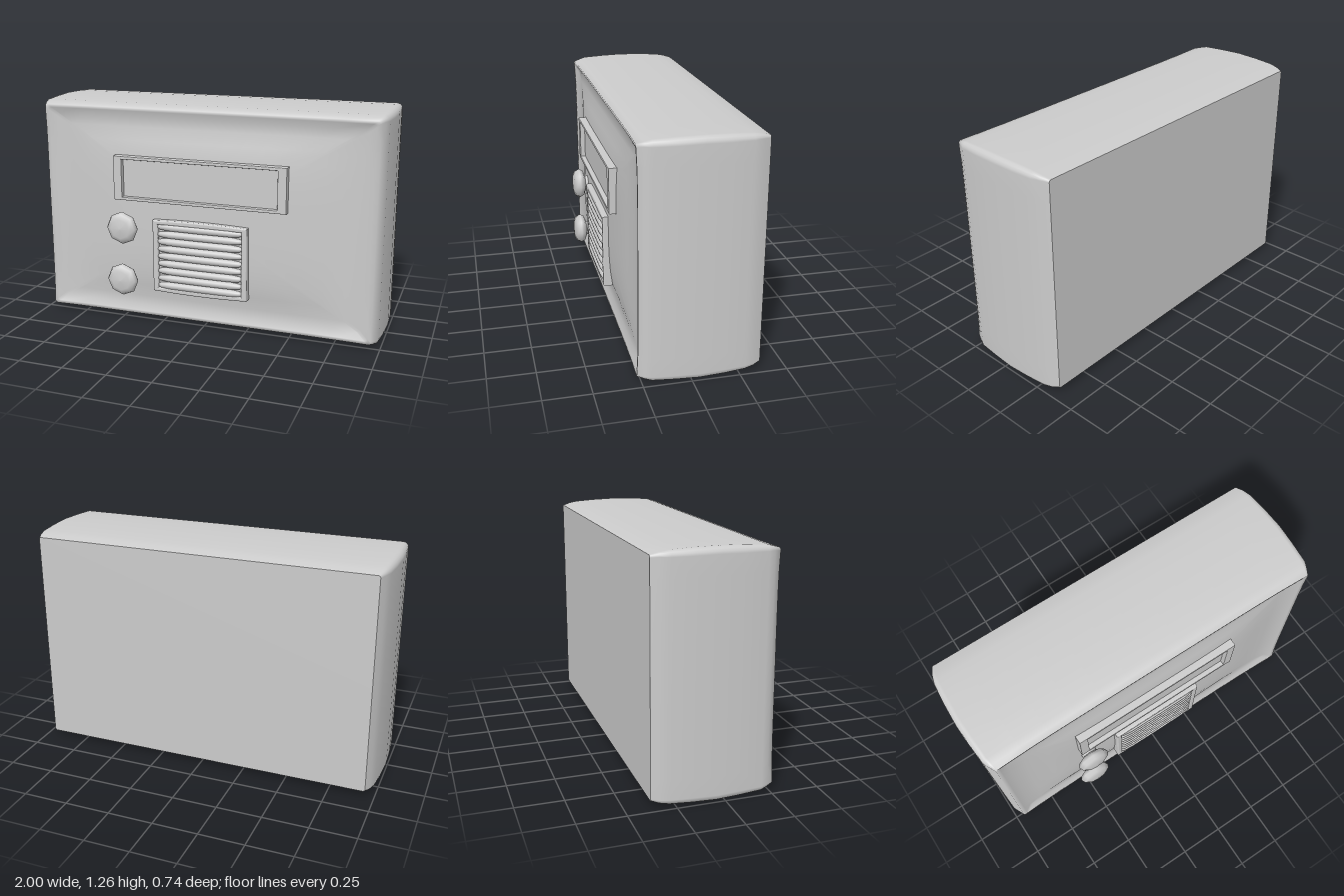
import * as THREE from 'three';

const material = new THREE.MeshStandardMaterial({ color: 0xcccccc });

function add(group, name, geometry, x = 0, y = 0, z = 0) {
  const mesh = new THREE.Mesh(geometry, material);
  mesh.name = name;
  mesh.position.set(x, y, z);
  group.add(mesh);
  return mesh;
}

// Rounded rectangle outline, counter-clockwise seen from +z
const SIDE = 12, ARC = 4;
function outline(hw, hh, r) {
  const pts = [];
  const corners = [[1, -1], [1, 1], [-1, 1], [-1, -1]];
  corners.forEach(([sx, sy], c) => {
    const cx = sx * (hw - r), cy = sy * (hh - r);
    for (let i = 0; i <= ARC; i++) {
      const a = (c - 1 + i / ARC) * Math.PI / 2;
      pts.push([cx + r * Math.cos(a), cy + r * Math.sin(a)]);
    }
    // Straight run to the start of the next corner
    const [nx, ny] = corners[(c + 1) % 4];
    const a = c * Math.PI / 2;
    const start = pts[pts.length - 1];
    const end = [nx * (hw - r) + r * Math.cos(a), ny * (hh - r) + r * Math.sin(a)];
    for (let i = 1; i < SIDE; i++) {
      const t = i / SIDE;
      pts.push([start[0] + (end[0] - start[0]) * t, start[1] + (end[1] - start[1]) * t]);
    }
  });
  return pts;
}

// Skin a list of loops (back to front), closing the last one to a point
function skin(loops, tip) {
  const n = loops[0].length, index = [];
  const position = loops.flat(2);
  for (let l = 0; l < loops.length - 1; l++) {
    for (let i = 0; i < n; i++) {
      const a = l * n + i, b = l * n + (i + 1) % n;
      index.push(a, b, b + n, a, b + n, a + n);
    }
  }
  if (tip) {
    const last = (loops.length - 1) * n;
    position.push(...tip);
    for (let i = 0; i < n; i++) index.push(last + i, last + (i + 1) % n, loops.length * n);
  }
  const g = new THREE.BufferGeometry();
  g.setAttribute('position', new THREE.Float32BufferAttribute(position, 3));
  g.setIndex(index);
  g.computeVertexNormals();
  return g;
}

// Rectangular frame with a rectangular opening
function frame(w, h, holeW, holeH, depth, bevel) {
  const shape = new THREE.Shape();
  const rect = (p, a, b) => p.moveTo(-a, -b).lineTo(a, -b).lineTo(a, b).lineTo(-a, b).closePath();
  rect(shape, w / 2 - bevel, h / 2 - bevel);
  shape.holes.push(rect(new THREE.Path(), holeW / 2 + bevel, holeH / 2 + bevel));
  return new THREE.ExtrudeGeometry(shape, {
    depth: depth - bevel, bevelEnabled: true, bevelThickness: bevel, bevelSize: bevel, bevelSegments: 2,
  });
}

export function createModel() {
  const model = new THREE.Group();
  model.name = 'wallSpeaker';
  const midY = 0.632;

  // Casing: bulged sides, raised rim and a softly domed front panel
  // Each row: half width, half height, corner radius, z
  const rows = [
    [0.95, 0.602, 0.012, -0.37], [0.97, 0.614, 0.02, -0.33], [0.985, 0.623, 0.03, -0.28],
    [0.995, 0.629, 0.035, -0.17], [1, 0.632, 0.035, -0.04], [0.995, 0.629, 0.035, 0.08],
    [0.985, 0.623, 0.03, 0.2], [0.97, 0.613, 0.02, 0.235], [0.952, 0.602, 0.015, 0.265],
    [0.93, 0.585, 0.015, 0.262], [0.89, 0.55, 0.015, 0.248], [0.8, 0.495, 0.015, 0.246],
  ];
  const loops = rows.map(([w, h, r, z]) => outline(w, h, r).map(([x, y]) => {
    // The rim flares forward a little at its corners
    const flare = z > 0.26 ? 0.008 * Math.pow(Math.abs(x / w * y / h), 6) : 0;
    return [x, y, z + flare];
  }));
  for (const s of [0.85, 0.7, 0.55, 0.4, 0.25, 0.1]) {
    loops.push(outline(0.8 * s, 0.495 * s, 0.012 * s).map(([x, y]) => {
      const u = x / 0.8, v = y / 0.495;
      return [x, y, 0.246 + 0.036 * (1 - u ** 4) * (1 - v ** 4)];
    }));
  }
  add(model, 'casing', skin(loops, [0, 0, 0.282]), 0, midY);

  // Flat back panel
  const backShape = new THREE.Shape(outline(0.95, 0.602, 0.012).map(([x, y]) => new THREE.Vector2(x, y)));
  add(model, 'backPanel', new THREE.ShapeGeometry(backShape), 0, midY, -0.37).rotation.y = Math.PI;

  // Display window with its raised frame
  const display = new THREE.Group();
  display.name = 'display';
  display.position.set(-0.015, 0.845, 0);
  add(display, 'displayFrame', frame(1, 0.25, 0.9, 0.215, 0.075, 0.004), 0, 0, 0.24);
  add(display, 'displayScreen', new THREE.BoxGeometry(0.92, 0.23, 0.05), 0, 0, 0.262);
  model.add(display);

  // Octagonal knobs, smooth shaded
  const knobProfile = [
    [0, -0.04], [0.05, -0.035], [0.082, -0.022], [0.094, 0.0], [0.082, 0.022], [0.055, 0.035], [0, 0.04],
  ].map(([r, y]) => new THREE.Vector2(r, y));
  const knobGeometry = new THREE.LatheGeometry(knobProfile, 8).rotateX(Math.PI / 2);
  [['upperKnob', -0.46, 0.563], ['lowerKnob', -0.465, 0.256]].forEach(([name, x, y]) => {
    add(model, name, knobGeometry, x, y, 0.332);
    const stem = add(model, name + 'Stem', new THREE.CylinderGeometry(0.045, 0.045, 0.06, 8), x, y, 0.285);
    stem.rotation.x = Math.PI / 2;
  });

  // Speaker grille: slightly bowed frame, back plate and horizontal slats
  const grille = new THREE.Group();
  grille.name = 'speakerGrille';
  grille.position.set(-0.008, 0.41, 0);
  const halfW = 0.277, halfH = 0.208;
  const shape = new THREE.Shape();
  shape.moveTo(-halfW, -halfH).quadraticCurveTo(0, -halfH - 0.014, halfW, -halfH)
    .lineTo(halfW, halfH).quadraticCurveTo(0, halfH + 0.014, -halfW, halfH);
  const hole = new THREE.Path();
  hole.moveTo(-0.245, -0.185).lineTo(0.245, -0.185).lineTo(0.245, 0.185).lineTo(-0.245, 0.185).closePath();
  shape.holes.push(hole);
  add(grille, 'grilleFrame', new THREE.ExtrudeGeometry(shape, {
    depth: 0.055, bevelEnabled: true, bevelThickness: 0.008, bevelSize: 0.008, bevelOffset: -0.008, bevelSegments: 3,
  }), 0, 0, 0.25);
  add(grille, 'grilleBack', new THREE.BoxGeometry(0.51, 0.39, 0.04), 0, 0, 0.272);
  const slatProfile = [
    [0, -0.255], [0.008, -0.25], [0.016, -0.23], [0.021, -0.18], [0.022, 0],
    [0.021, 0.18], [0.016, 0.23], [0.008, 0.25], [0, 0.255],
  ].map(([r, y]) => new THREE.Vector2(r, y));
  const slatGeometry = new THREE.LatheGeometry(slatProfile, 12).rotateZ(Math.PI / 2);
  for (let i = 0; i < 9; i++) {
    add(grille, 'grilleSlat', slatGeometry, 0, (i - 4) * 0.043, 0.299);
  }
  model.add(grille);

  return model;
}
